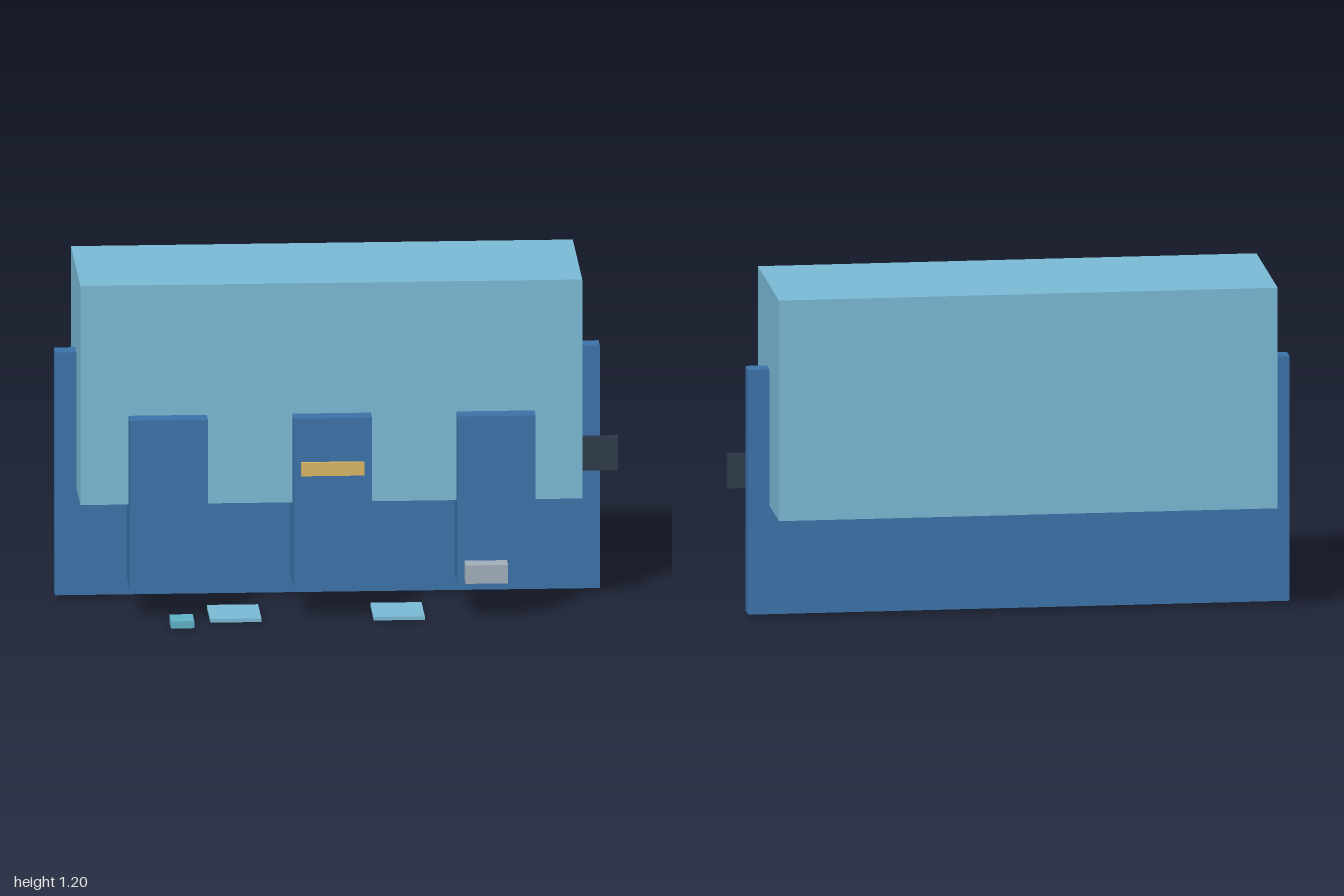
import * as THREE from 'three';

const paint = (color) => new THREE.MeshStandardMaterial({ color });

export function createModel() {
  const model = new THREE.Group();
  const lightBlue = paint(0x7bbbd8);
  const blue = paint(0x3b73aa);
  const teal = paint(0x5fb3c8);
  const yellow = paint(0xdcb765);
  const grey = paint(0xa3afbb);
  const dark = paint(0x2d3a4a);

  // Box between two limits on each axis
  const addBox = (name, material, [x0, x1], [y0, y1], [z0, z1]) => {
    const mesh = new THREE.Mesh(new THREE.BoxGeometry(x1 - x0, y1 - y0, z1 - z0), material);
    mesh.position.set((x0 + x1) / 2, (y0 + y1) / 2, (z0 + z1) / 2);
    mesh.name = name;
    model.add(mesh);
  };

  // Large upper block, carried by a wide upright panel
  addBox('upperBlock', lightBlue, [-0.924, 0.86], [0.403, 1.203], [-0.412, 0.188]);
  addBox('uprightPanel', blue, [-1, 0.937], [0.011, 0.898], [-0.149, -0.073]);

  // Three front pillars
  for (const x of [-0.614, -0.031, 0.551]) {
    addBox('frontPillar', blue, [x - 0.139, x + 0.139], [0.107, 0.727], [0.064, 0.264]);
  }

  // Two thin floor pads between the pillars
  for (const x of [-0.379, 0.202]) {
    addBox('floorPad', lightBlue, [x - 0.091, x + 0.091], [0, 0.013], [0.109, 0.322]);
  }

  // Small fittings
  addBox('floorBlock', teal, [-0.615, -0.532], [0.003, 0.029], [0.309, 0.414]);
  addBox('pillarStrip', yellow, [-0.144, 0.08], [0.519, 0.568], [0.25, 0.277]);
  addBox('pillarShelf', grey, [0.437, 0.588], [0.133, 0.2], [0.26, 0.337]);
  addBox('sidePlate', dark, [0.85, 1], [0.451, 0.573], [-0.056, -0.029]);

  return model;
}
